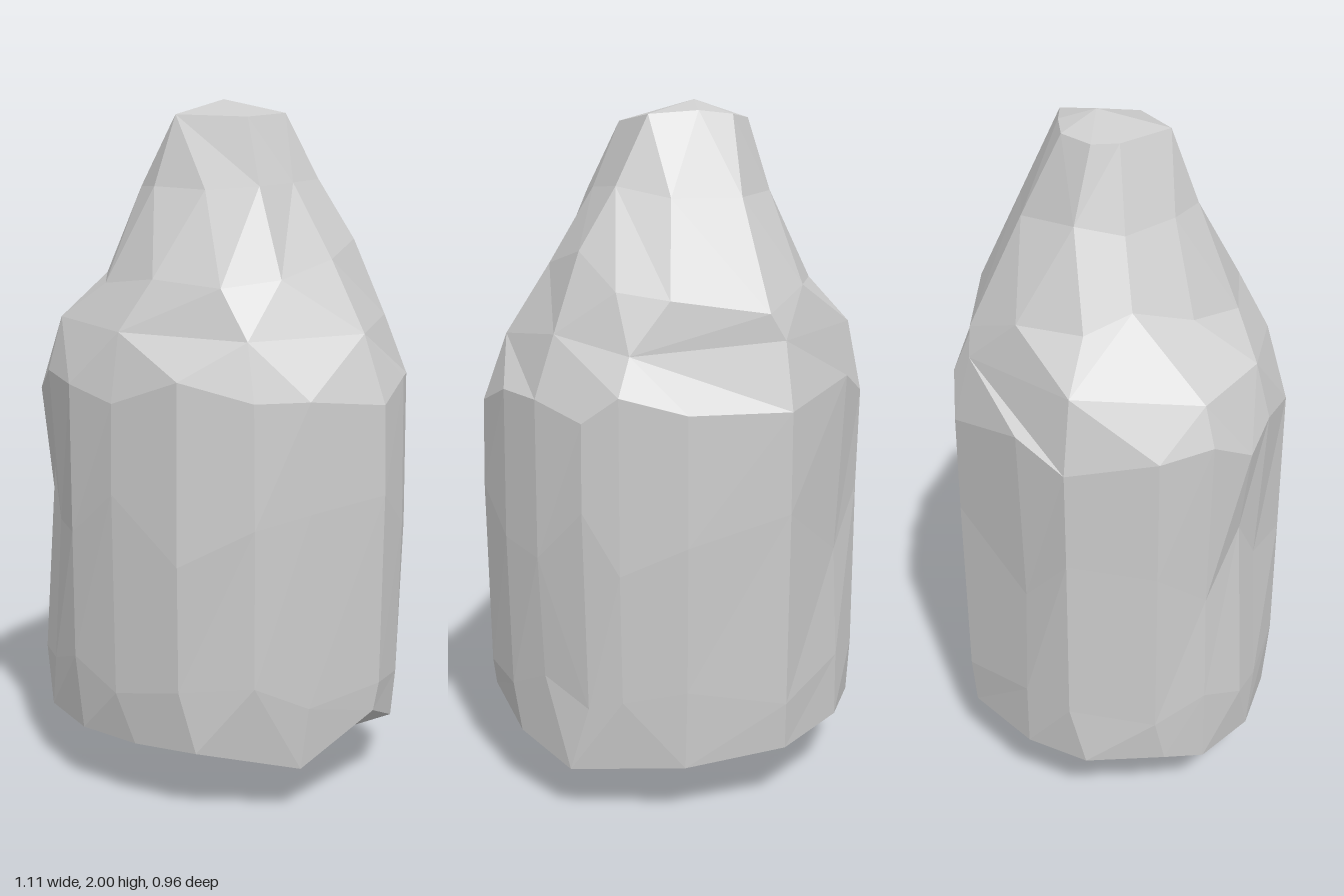
import * as THREE from 'three';

// Plan outline (x, z) of the boulder at its widest
const PLAN = [
  [0.56, 0.03], [0.53, -0.13], [0.47, -0.26], [0.37, -0.38], [0.28, -0.43], [0.1, -0.48],
  [-0.2, -0.48], [-0.43, -0.32], [-0.53, -0.2], [-0.56, 0.05], [-0.53, 0.2], [-0.46, 0.32],
  [-0.37, 0.38], [-0.22, 0.46], [-0.05, 0.48], [0.16, 0.46], [0.35, 0.36], [0.46, 0.25],
];

// Irregular loops (x, y, z) of the underside, foot, neck and crown
const UNDERSIDE = [
  [0.2, 0.07, 0], [0.15, 0.08, -0.2], [-0.15, 0.08, -0.2], [-0.3, 0.095, 0],
  [-0.12, 0.06, 0.17], [0.15, 0.08, 0.17],
];
const FOOT = [
  [0.54, 0.28, 0.04], [0.5, 0.2, -0.14], [0.4, 0.15, -0.33], [0.1, 0.17, -0.46],
  [-0.2, 0.19, -0.46], [-0.42, 0.2, -0.31], [-0.53, 0.2, -0.15], [-0.54, 0.2, 0.08],
  [-0.51, 0.17, 0.2], [-0.4, 0.19, 0.35], [-0.2, 0.19, 0.44], [0, 0.19, 0.45],
  [0.2, 0.2, 0.43], [0.43, 0.15, 0.25],
];
const NECK = [
  [0.36, 1.55, 0], [0.32, 1.6, -0.19], [0.25, 1.5, -0.31], [0.12, 1.48, -0.38],
  [-0.15, 1.44, -0.42], [-0.29, 1.5, -0.3], [-0.38, 1.5, -0.13], [-0.36, 1.55, 0],
  [-0.31, 1.5, 0.17], [-0.2, 1.48, 0.31], [0, 1.5, 0.35], [0.2, 1.48, 0.31], [0.31, 1.5, 0.18],
];
const CROWN = [
  [0.23, 1.76, 0], [0.21, 1.77, -0.17], [0.08, 1.74, -0.26], [-0.12, 1.74, -0.27],
  [-0.25, 1.75, -0.14], [-0.28, 1.73, -0.01], [-0.21, 1.75, 0.13], [-0.1, 1.75, 0.21],
  [0.07, 1.74, 0.2], [0.21, 1.75, 0.14],
];
const PEAK = [
  [0.13, 1.94, 0.08], [0.11, 1.96, -0.145], [-0.03, 1.97, -0.16], [-0.13, 1.96, -0.16],
  [-0.2, 1.95, -0.09], [-0.2, 1.95, -0.015], [-0.08, 1.95, 0.135],
];

// Chipped hollows in the wall: centre x, y, z, radius, depth
const DENTS = [
  [-0.46, 0.85, 0.32, 0.2, 0.05],
  [0.33, 1.05, 0.38, 0.2, 0.04],
  [-0.43, 0.7, -0.32, 0.25, 0.03],
  [0.37, 0.5, -0.38, 0.2, 0.03],
];

// Wall loop following the plan, with uneven height and hollows
function wall(y, scale, rough, shift = 0, step = 1) {
  return PLAN.filter((_, i) => i % step === 0).map(([px, pz], i) => {
    const p = new THREE.Vector3(px * scale + shift, y + rough * Math.sin(i * 2.3 + y * 9), pz * scale);
    let push = 0;
    for (const [x, cy, z, r, depth] of DENTS) {
      const d = p.distanceTo(new THREE.Vector3(x, cy, z)) / r;
      push += depth * Math.exp(-d * d);
    }
    return p.addScaledVector(new THREE.Vector3(-p.x, 0, -p.z).normalize(), push).toArray();
  });
}

// Angle round the upright axis, counter-clockwise from above
const angle = ([x, , z]) => (Math.atan2(-z, x) + 0.15 + Math.PI * 2) % (Math.PI * 2);

// Triangles between two loops with any number of points
function stitch(lower, upper, out) {
  const a = [...lower].sort((p, q) => angle(p) - angle(q));
  const b = [...upper].sort((p, q) => angle(p) - angle(q));
  const next = (loop, k) => (k < loop.length - 1 ? angle(loop[k + 1]) : angle(loop[0]) + Math.PI * 2);
  let i = 0, j = 0;
  while (i < a.length || j < b.length) {
    const p = a[i % a.length], q = b[j % b.length];
    if (j === b.length || (i < a.length && next(a, i) < next(b, j))) {
      out.push(...p, ...a[++i % a.length], ...q);
    } else {
      out.push(...p, ...b[++j % b.length], ...q);
    }
  }
}

export function createModel() {
  const group = new THREE.Group();
  group.name = 'boulder';
  const loops = [
    UNDERSIDE, FOOT,
    wall(0.37, 0.985, 0.04), wall(0.82, 1, 0.1), wall(1.2, 0.99, 0.04),
    wall(1.36, 0.89, 0.025, -0.015, 2),
    NECK, CROWN, PEAK,
  ];
  const positions = [];
  for (let k = 0; k < loops.length - 1; k++) stitch(loops[k], loops[k + 1], positions);

  // Close the blunt tips
  UNDERSIDE.forEach((p, i) =>
    positions.push(...UNDERSIDE[(i + 1) % UNDERSIDE.length], ...p, -0.06, 0, 0.03));
  PEAK.forEach((p, i) => positions.push(...p, ...PEAK[(i + 1) % PEAK.length], -0.05, 2, -0.06));

  const geometry = new THREE.BufferGeometry();
  geometry.setAttribute('position', new THREE.Float32BufferAttribute(positions, 3));
  geometry.computeVertexNormals();
  const rock = new THREE.Mesh(geometry,
    new THREE.MeshStandardMaterial({ color: 0xcccccc, flatShading: true }));
  rock.name = 'rock';
  group.add(rock);
  return group;
}
